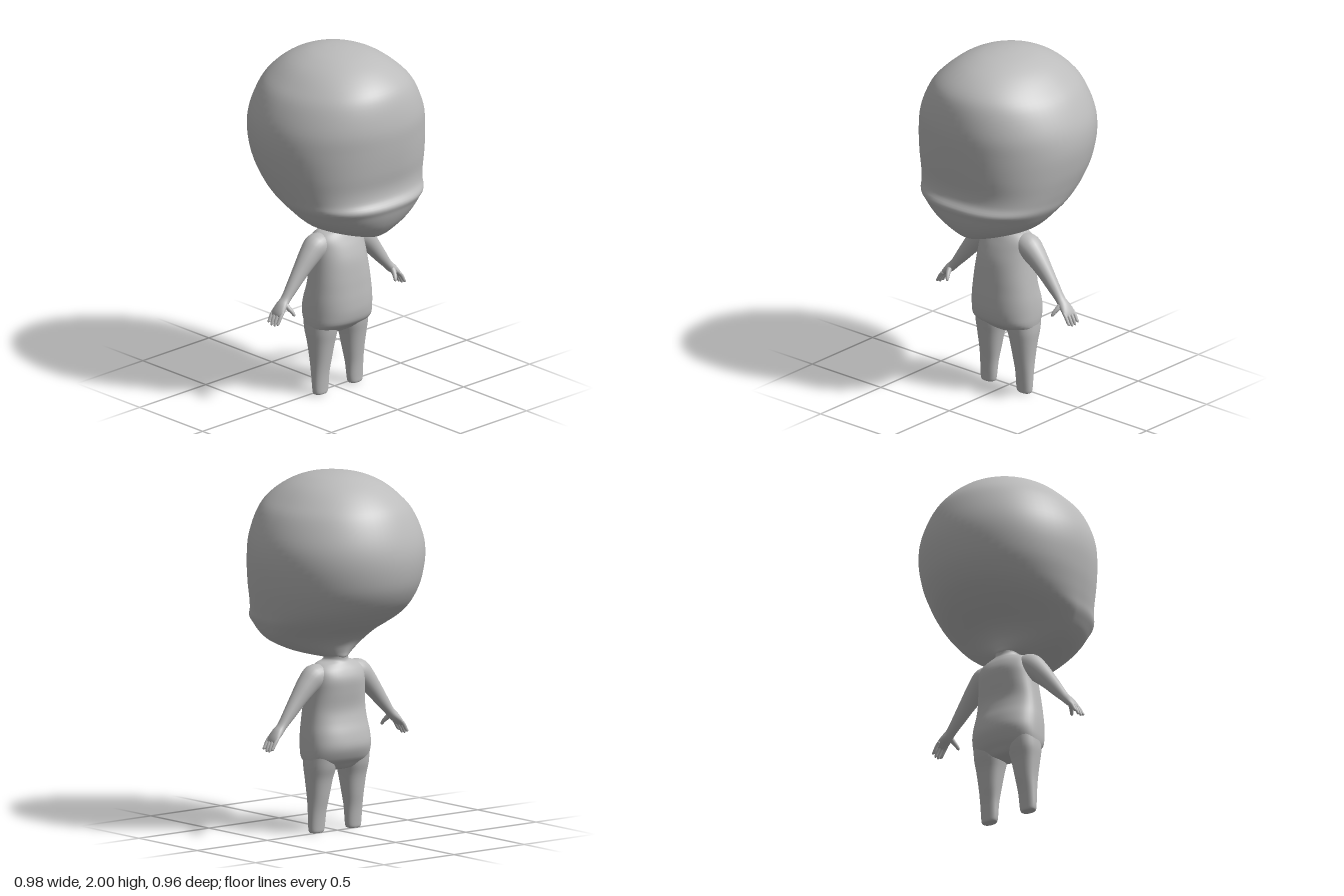
import * as THREE from 'three';

const skin = new THREE.MeshStandardMaterial({ color: 0xbcbcbc });
skin.name = 'plain grey';

// Smoothly resample a table of rows (Catmull-Rom on every column)
function smoothRows(rows, steps) {
  const out = [];
  const last = rows.length - 1;
  for (let i = 0; i < last; i++) {
    const p0 = rows[Math.max(i - 1, 0)], p1 = rows[i];
    const p2 = rows[i + 1], p3 = rows[Math.min(i + 2, last)];
    for (let s = 0; s < steps; s++) {
      const t = s / steps;
      out.push(p1.map((b, k) => {
        const a = p0[k], c = p2[k], d = p3[k];
        return b + 0.5 * t * (c - a + t * (2 * a - 5 * b + 4 * c - d + t * (3 * (b - c) + d - a)));
      }));
    }
  }
  out.push(rows[last]);
  return out;
}

// Skin a list of closed rings and close both ends
function loft(name, rings) {
  const n = rings[0].length, pos = [], index = [];
  rings.forEach((ring) => ring.forEach((p) => pos.push(p.x, p.y, p.z)));
  for (let i = 0; i < rings.length - 1; i++) {
    for (let j = 0; j < n; j++) {
      const a = i * n + j, b = i * n + (j + 1) % n;
      index.push(a, a + n, b, b, a + n, b + n);
    }
  }
  [0, rings.length - 1].forEach((r, end) => {
    const c = rings[r].reduce((sum, p) => sum.add(p), new THREE.Vector3()).divideScalar(n);
    const centre = pos.length / 3;
    pos.push(c.x, c.y, c.z);
    for (let j = 0; j < n; j++) {
      const a = r * n + j, b = r * n + (j + 1) % n;
      if (end) index.push(centre, b, a);
      else index.push(centre, a, b);
    }
  });
  const geo = new THREE.BufferGeometry();
  geo.setAttribute('position', new THREE.Float32BufferAttribute(pos, 3));
  geo.setIndex(index);
  geo.computeVertexNormals();
  const mesh = new THREE.Mesh(geo, skin);
  mesh.name = name;
  return mesh;
}

const power = (v, n) => Math.sign(v) * Math.pow(Math.abs(v), 2 / n);

// Upright form; row = [y, centre x, half width, front z, back z, widest z, front squareness, back squareness]
function uprightForm(name, rows, segments = 48, steps = 4) {
  return loft(name, smoothRows(rows, steps).map(([y, cx, w, zf, zb, zm, nf, nb]) =>
    Array.from({ length: segments }, (_, j) => {
      const a = j / segments * Math.PI * 2, c = Math.cos(a), s = Math.sin(a);
      const n = s >= 0 ? nf : nb;
      return new THREE.Vector3(cx + w * power(c, n), y, zm + (s >= 0 ? zf - zm : zm - zb) * power(s, n));
    })));
}

// Limb along a path; row = [x, y, z, radius, depth radius]
function limb(name, rows, segments = 20, steps = 4) {
  const pts = smoothRows(rows, steps);
  const at = (i) => new THREE.Vector3(...pts[i].slice(0, 3));
  return loft(name, pts.map((row, i) => {
    const d = at(Math.min(i + 1, pts.length - 1)).sub(at(Math.max(i - 1, 0))).normalize();
    const v = new THREE.Vector3(0, 0, 1).addScaledVector(d, -d.z).normalize();
    const u = d.clone().cross(v);
    return Array.from({ length: segments }, (_, j) => {
      const a = j / segments * Math.PI * 2;
      return at(i).addScaledVector(u, row[3] * Math.cos(a)).addScaledVector(v, row[4] * Math.sin(a));
    });
  }));
}

export function createModel() {
  const model = new THREE.Group();
  model.name = 'figure';

  // Large head: narrow jaw, lip ridge, flat face and round skull
  model.add(uprightForm('head', [
    [0.962, 0, 0.03, 0.27, -0.03, 0.10, 2, 2],
    [0.972, 0, 0.085, 0.33, -0.06, 0.13, 2, 1.9],
    [1.00, 0, 0.175, 0.38, -0.066, 0.15, 2, 1.7],
    [1.05, 0, 0.285, 0.42, -0.085, 0.15, 2.1, 1.6],
    [1.10, 0, 0.35, 0.447, -0.13, 0.13, 2.2, 1.65],
    [1.15, 0, 0.39, 0.466, -0.21, 0.11, 2.3, 1.8],
    [1.19, 0, 0.415, 0.478, -0.275, 0.09, 2.4, 1.9],
    [1.235, 0, 0.43, 0.45, -0.335, 0.07, 2.45, 2],
    [1.30, 0, 0.45, 0.445, -0.40, 0.05, 2.4, 2],
    [1.40, 0, 0.475, 0.462, -0.455, 0.03, 2.25, 2],
    [1.53, 0, 0.491, 0.477, -0.48, 0.02, 2.1, 2],
    [1.65, 0, 0.475, 0.48, -0.468, 0.01, 2.1, 2],
    [1.78, 0, 0.415, 0.455, -0.42, 0.01, 2.1, 2],
    [1.86, 0, 0.345, 0.41, -0.36, 0.01, 2.1, 2],
    [1.93, 0, 0.26, 0.32, -0.27, 0.01, 2, 2],
    [1.975, 0, 0.165, 0.21, -0.17, 0.01, 2, 2],
    [1.995, 0, 0.075, 0.10, -0.08, 0.01, 2, 2],
    [2.00, 0, 0.005, 0.012, 0.002, 0.007, 2, 2],
  ], 64));

  // Torso: neck, shoulders, round belly and seat
  model.add(uprightForm('torso', [
    [0.345, 0, 0.03, 0.04, -0.03, 0.01, 2, 2],
    [0.355, 0, 0.12, 0.08, -0.06, 0.01, 2.2, 2.2],
    [0.385, 0, 0.19, 0.115, -0.085, 0.01, 2.4, 2.3],
    [0.42, 0, 0.204, 0.165, -0.112, 0.01, 2.4, 2.3],
    [0.48, 0, 0.206, 0.182, -0.135, 0.01, 2.3, 2.3],
    [0.55, 0, 0.202, 0.183, -0.126, 0.015, 2.3, 2.3],
    [0.62, 0, 0.193, 0.178, -0.104, 0.02, 2.3, 2.3],
    [0.69, 0, 0.184, 0.172, -0.091, 0.02, 2.3, 2.4],
    [0.78, 0, 0.173, 0.16, -0.101, 0.02, 2.2, 2.5],
    [0.85, 0, 0.167, 0.138, -0.106, 0.015, 2.2, 2.5],
    [0.90, 0, 0.16, 0.115, -0.09, 0.015, 2.2, 2.4],
    [0.935, 0, 0.13, 0.097, -0.068, 0.015, 2, 2],
    [0.952, 0, 0.078, 0.085, -0.058, 0.015, 2, 2],
    [0.975, 0, 0.066, 0.08, -0.058, 0.015, 2, 2],
    [1.03, 0, 0.08, 0.09, -0.07, 0.015, 2, 2],
  ]));

  for (const s of [1, -1]) {
    const side = s > 0 ? 'left' : 'right';

    // Tapered leg with a blunt end
    model.add(uprightForm(side + 'Leg', [
      [0.00, s * 0.132, 0.037, 0.048, -0.002, 0.023, 2.2, 2.2],
      [0.008, s * 0.131, 0.046, 0.055, -0.008, 0.023, 2.2, 2.2],
      [0.04, s * 0.130, 0.051, 0.057, -0.012, 0.023, 2.2, 2.2],
      [0.12, s * 0.128, 0.055, 0.063, -0.022, 0.02, 2.2, 2.2],
      [0.20, s * 0.123, 0.063, 0.074, -0.038, 0.018, 2.2, 2.2],
      [0.30, s * 0.119, 0.077, 0.09, -0.056, 0.015, 2.2, 2.2],
      [0.37, s * 0.115, 0.088, 0.103, -0.078, 0.012, 2.2, 2.2],
      [0.44, s * 0.112, 0.09, 0.11, -0.09, 0.01, 2.2, 2.2],
    ], 32));

    // Arm running from inside the shoulder to the wrist and palm
    const arm = new THREE.Group();
    arm.name = side + 'Arm';
    arm.add(limb(side + 'ArmAndPalm', [
      [s * 0.09, 0.885, 0.012, 0.05, 0.06],
      [s * 0.15, 0.868, 0.014, 0.072, 0.07],
      [s * 0.205, 0.825, 0.015, 0.062, 0.06],
      [s * 0.27, 0.755, 0.015, 0.048, 0.045],
      [s * 0.33, 0.683, 0.015, 0.037, 0.035],
      [s * 0.383, 0.62, 0.015, 0.026, 0.029],
      [s * 0.415, 0.588, 0.016, 0.025, 0.037],
      [s * 0.44, 0.563, 0.016, 0.018, 0.043],
      [s * 0.456, 0.543, 0.016, 0.011, 0.042],
      [s * 0.460, 0.538, 0.016, 0.004, 0.035],
    ], 24));

    // Four fingers
    [0.052, 0.028, 0.004, -0.019].forEach((z, i) => {
      const drop = [0.01, 0, 0, 0.01][i];
      arm.add(limb(side + 'Finger' + (i + 1), [
        [s * 0.44, 0.563, z, 0.009, 0.009],
        [s * 0.458, 0.54, z, 0.010, 0.010],
        [s * 0.474, 0.512, z, 0.009, 0.009],
        [s * 0.482, 0.492 + drop, z, 0.007, 0.007],
        [s * 0.484, 0.486 + drop, z, 0.001, 0.001],
      ], 12, 3));
    });

    // Thumb reaching forward and down
    arm.add(limb(side + 'Thumb', [
      [s * 0.405, 0.598, 0.03, 0.015, 0.015],
      [s * 0.399, 0.578, 0.052, 0.014, 0.014],
      [s * 0.389, 0.557, 0.071, 0.011, 0.011],
      [s * 0.383, 0.54, 0.081, 0.008, 0.008],
      [s * 0.381, 0.534, 0.083, 0.001, 0.001],
    ], 12, 3));
    model.add(arm);
  }
  return model;
}
